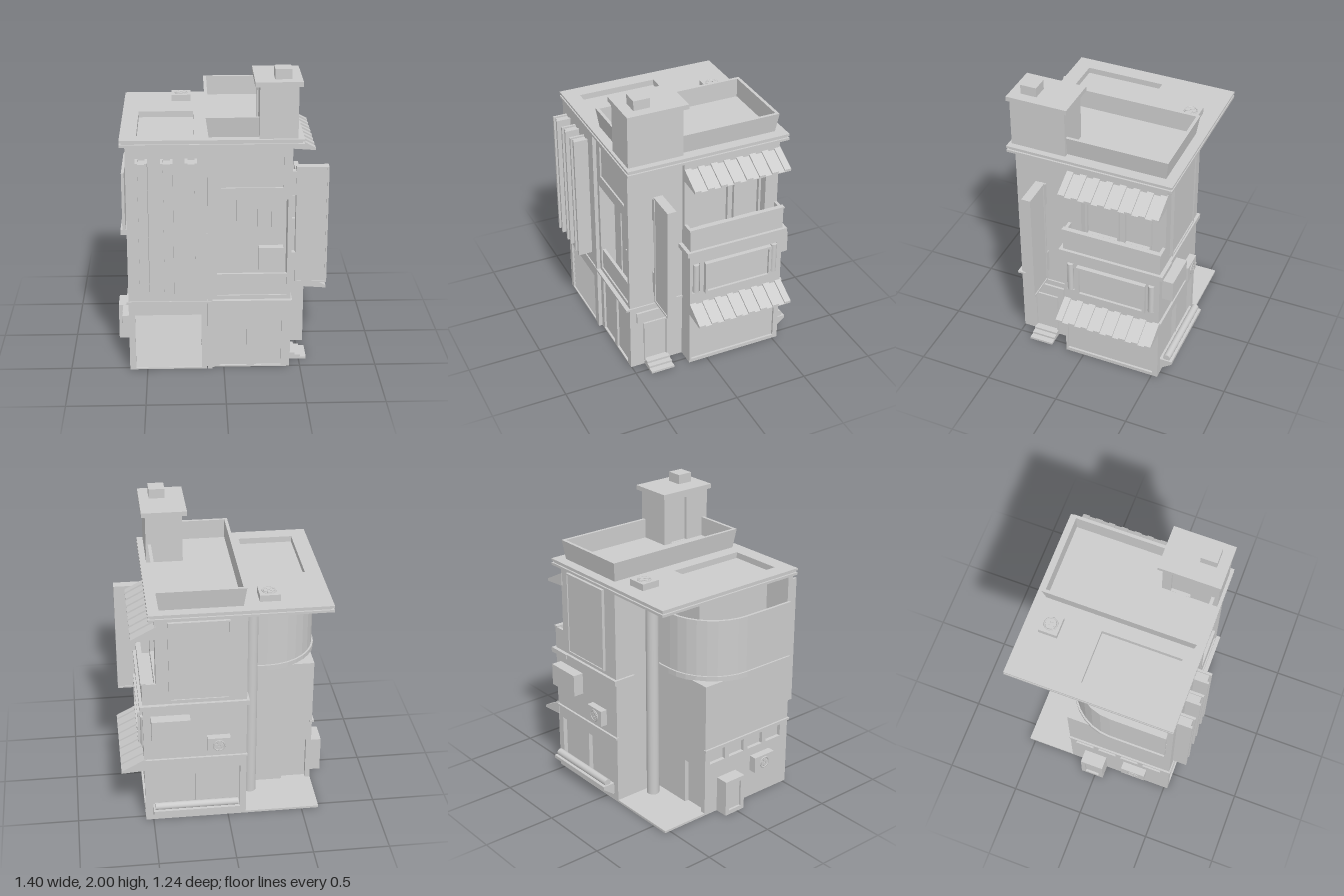
import * as THREE from 'three';

export function createModel() {
  const model = new THREE.Group();
  model.name = 'townBuilding';
  const plaster = new THREE.MeshStandardMaterial({ color: 0xcccccc, side: THREE.DoubleSide });
  plaster.name = 'grey plaster';

  const put = (parent, name, geo, x = 0, y = 0, z = 0) => {
    const mesh = new THREE.Mesh(geo, plaster);
    mesh.name = name;
    mesh.position.set(x, y, z);
    parent.add(mesh);
    return mesh;
  };
  // Box given by its limits on each axis
  const box = (p, name, x0, x1, y0, y1, z0, z1) => put(p, name,
    new THREE.BoxGeometry(x1 - x0, y1 - y0, z1 - z0), (x0 + x1) / 2, (y0 + y1) / 2, (z0 + z1) / 2);
  const trace = (path, [x0, x1, y0, y1]) =>
    path.moveTo(x0, y0).lineTo(x1, y0).lineTo(x1, y1).lineTo(x0, y1).closePath();
  const ring = (rect, holes, depth) => {
    const s = trace(new THREE.Shape(), rect);
    holes.forEach(h => s.holes.push(trace(new THREE.Path(), h)));
    return new THREE.ExtrudeGeometry(s, { depth, bevelEnabled: false });
  };
  // Upright wall with rectangular openings
  const wall = (p, name, rect, holes, z0, z1) => put(p, name, ring(rect, holes, z1 - z0), 0, 0, z0);
  const frame = (p, name, x0, x1, y0, y1, z0, z1, t = 0.015) =>
    wall(p, name, [x0, x1, y0, y1], [[x0 + t, x1 - t, y0 + t, y1 - t]], z0, z1);
  // Side profile of [outward, up] points, swept along x from x0 to x1
  const sweep = (p, name, points, x0, x1) => {
    const s = new THREE.Shape(points.map(([z, y]) => new THREE.Vector2(-z, y)));
    put(p, name, new THREE.ExtrudeGeometry(s, { depth: x1 - x0, bevelEnabled: false }), x0).rotation.y = Math.PI / 2;
  };
  // Each facade has its own frame, with local z pointing outwards
  const facade = (name, angle) => {
    const g = new THREE.Group();
    g.name = name;
    g.rotation.y = angle;
    model.add(g);
    return g;
  };
  const front = facade('frontFacade', 0), right = facade('sideFacade', Math.PI / 2);
  const back = facade('backFacade', Math.PI), left = facade('courtFacade', -Math.PI / 2);

  // Main volumes
  box(model, 'basePlate', -0.615, -0.1, 0, 0.015, -0.54, -0.2);
  box(model, 'garageBlock', -0.59, -0.09, 0, 0.94, -0.175, 0.495);
  box(model, 'upperRoom', -0.42, -0.09, 0.94, 1.53, -0.1, 0.49);
  box(model, 'frontTowerCore', -0.09, 0.43, 0, 1.53, 0.1, 0.385);
  box(model, 'shopBlock', -0.12, 0.535, 0, 0.9, -0.51, 0.13);
  box(model, 'topFloorCore', -0.12, 0.4, 0.9, 1.53, -0.54, 0.13);
  put(model, 'courtColumn', new THREE.CylinderGeometry(0.042, 0.042, 1.53, 20), -0.18, 0.765, -0.29);

  // Front left: garage wall, lapped shutter and upper wall
  wall(front, 'garageWall', [-0.615, -0.11, 0, 0.475], [[-0.575, -0.145, 0.01, 0.39]], 0.495, 0.525);
  for (let i = 0; i < 9; i++) {
    const y = 0.01 + i * 0.0422;
    sweep(front, 'shutterSlat', [[0.49, y], [0.515, y], [0.503, y + 0.0422], [0.49, y + 0.0422]], -0.575, -0.145);
  }
  box(front, 'upperFrontWall', -0.615, -0.11, 0.475, 1.53, 0.485, 0.525);
  box(front, 'pillarStrip', -0.105, -0.075, 0, 1.53, 0.47, 0.53);
  box(front, 'frontMoulding', -0.628, 0.44, 0.474, 0.488, 0.49, 0.533);
  for (const x of [-0.514, -0.357, -0.206]) {
    for (const s of [-1, 1]) box(front, 'finPlate', x + s * 0.03 - 0.008, x + s * 0.03 + 0.008, 0.57, 1.455, 0.515, 0.622);
    box(front, 'finCore', x - 0.022, x + 0.022, 0.575, 1.445, 0.515, 0.608);
  }

  // Front right: ground panels, loggia and upper panel
  wall(front, 'entranceWall', [-0.09, 0.43, 0, 0.475], [[-0.03, 0.15, 0.01, 0.44], [0.2, 0.375, 0.01, 0.44]], 0.475, 0.505);
  box(front, 'entrancePanels', -0.09, 0.43, 0, 0.475, 0.385, 0.49);
  wall(front, 'loggiaWall', [-0.09, 0.43, 0.475, 1.53],
    [[-0.045, 0.405, 0.515, 1.17], [-0.02, 0.375, 1.25, 1.475]], 0.385, 0.505);
  box(front, 'upperPanel', -0.02, 0.375, 1.25, 1.475, 0.4, 0.494);
  box(front, 'loggiaRail', -0.045, 0.405, 0.515, 0.66, 0.475, 0.495);
  for (const [x0, x1, y0] of [[-0.035, 0.065, 0.53], [0.085, 0.195, 0.53], [0.22, 0.295, 0.85], [0.31, 0.395, 0.85]]) {
    box(front, 'loggiaPanel', x0, x1, y0, 1.16, 0.38, 0.405);
  }
  box(front, 'loggiaCabinet', 0.225, 0.385, 0.66, 0.815, 0.385, 0.44);

  // Side entrance, steps and projecting sign board (local x = -z)
  frame(right, 'sideDoor', -0.41, -0.24, 0.03, 0.345, 0.425, 0.442, 0.01);
  box(right, 'doorHeader', -0.46, -0.19, 0.365, 0.44, 0.42, 0.445);
  [0.55, 0.51, 0.475].forEach((d, i) => box(right, 'step', -0.405, -0.24, i * 0.015, (i + 1) * 0.015, 0.42, d));
  box(right, 'sideMoulding', -0.53, -0.13, 0.474, 0.488, 0.42, 0.44);
  box(right, 'signBoard', -0.342, -0.293, 0.54, 1.32, 0.48, 0.667);
  for (const y of [0.53, 1.32]) box(right, 'signRimEnd', -0.348, -0.287, y, y + 0.012, 0.47, 0.678);
  for (const z of [0.47, 0.666]) box(right, 'signRimSide', -0.348, -0.287, 0.53, 1.332, z, z + 0.012);
  for (const y of [0.58, 1.14]) box(right, 'signBracket', -0.34, -0.295, y, y + 0.16, 0.425, 0.48);

  // Shop side: display window, oriel window and lamps
  wall(right, 'shopWall', [-0.13, 0.54, 0, 0.9],
    [[-0.115, 0.525, 0.025, 0.36], [0.458, 0.51, 0.57, 0.8], [-0.11, -0.058, 0.57, 0.8]], 0.53, 0.55);
  frame(right, 'orielFrame', -0.03, 0.45, 0.565, 0.8, 0.545, 0.58, 0.018);
  box(right, 'orielPane', -0.015, 0.435, 0.58, 0.785, 0.545, 0.563);
  for (const x of [-0.084, 0.484]) put(right, 'wallLamp', new THREE.CylinderGeometry(0.021, 0.021, 0.215, 12), x, 0.685, 0.545);
  box(right, 'ledge', -0.155, 0.565, 0.875, 0.908, 0.4, 0.57);
  box(right, 'balconyParapet', -0.13, 0.54, 0.905, 1.06, 0.53, 0.55);
  for (const x of [-0.13, 0.52]) box(right, 'balconyEnd', x, x + 0.02, 0.905, 1.06, 0.45, 0.54);
  box(right, 'parapetCap', -0.135, 0.545, 1.058, 1.07, 0.525, 0.557);
  wall(right, 'balconyWall', [-0.13, 0.54, 0.9, 1.53], [[-0.04, 0.45, 0.96, 1.345]], 0.39, 0.46);
  for (const [a, b] of [[-0.025, 0.205], [0.24, 0.43]]) frame(right, 'balconyWindow', a, b, 0.97, 1.33, 0.4, 0.425, 0.01);

  // Solid awnings: alternating boards over one flat underside
  const awning = (x, top) => {
    const count = 15, w = 0.675 / count;
    for (let i = 0; i < count; i++) {
      const y = top - (i % 2) * 0.012;
      sweep(right, 'awningBoard', [[x - 0.01, y], [x + 0.15, y - 0.085], [x + 0.15, top - 0.102], [x - 0.01, top - 0.09]],
        -0.13 + i * w, -0.13 + (i + 1) * w);
    }
  };
  awning(0.46, 1.475);
  awning(0.55, 0.495);

  // Fan unit facing outwards on a facade, with four round blades
  const fanUnit = (p, x0, x1, y0, y1, z0, z1) => {
    box(p, 'airUnit', x0, x1, y0, y1, z0, z1 - 0.005);
    const x = (x0 + x1) / 2, y = (y0 + y1) / 2, r = Math.min(x1 - x0, y1 - y0) * 0.33;
    put(p, 'fanRing', new THREE.TorusGeometry(r, 0.005, 6, 20), x, y, z1 - 0.005);
    for (let i = 0; i < 4; i++) {
      const a = i * Math.PI / 2;
      put(p, 'fanBlade', new THREE.CylinderGeometry(r * 0.36, r * 0.36, 0.006, 12),
        x + Math.cos(a) * r * 0.52, y + Math.sin(a) * r * 0.52, z1 - 0.004).rotation.x = Math.PI / 2;
    }
  };

  // Back: window, planter, mouldings, air units and upper panel (local x = -x)
  wall(back, 'backWall', [-0.55, 0.12, 0, 0.9], [[-0.5, -0.215, 0.05, 0.39], [-0.2, 0.08, 0.05, 0.39]], 0.505, 0.54);
  sweep(back, 'planterTrough', [[0.535, 0.035], [0.622, 0.1], [0.622, 0.122], [0.535, 0.122]], -0.5, 0.07);
  put(back, 'planterRoll', new THREE.CylinderGeometry(0.025, 0.025, 0.55, 14), -0.215, 0.138, 0.582).rotation.z = Math.PI / 2;
  box(back, 'backMoulding', -0.55, 0.125, 0.474, 0.488, 0.53, 0.555);
  box(back, 'backLedge', -0.57, 0.135, 0.875, 0.908, 0.4, 0.56);
  box(back, 'airUnit', -0.5, -0.25, 0.67, 0.82, 0.53, 0.613);
  fanUnit(back, -0.14, 0.01, 0.54, 0.65, 0.53, 0.592);
  box(back, 'backPanel', -0.37, 0, 0.94, 1.5, 0.53, 0.552);
  frame(back, 'backPanelFrame', -0.38, 0.01, 0.935, 1.5, 0.53, 0.56, 0.01);
  wall(back, 'courtWall', [0.09, 0.615, 0, 0.94], [[0.415, 0.58, 0.015, 0.33]], 0.17, 0.205);

  // Court side: clerestory windows, cabinet and air unit (local x = z)
  const panes = [0, 1, 2, 3].map(i => [-0.165 + i * 0.165, -0.035 + i * 0.165, 0.37, 0.455]);
  wall(left, 'courtSideWall', [-0.205, 0.52, 0, 0.94], panes, 0.585, 0.615);
  box(left, 'courtMoulding', -0.21, 0.52, 0.474, 0.488, 0.6, 0.628);
  box(left, 'groundCabinet', -0.1, 0.06, 0, 0.25, 0.61, 0.69);
  frame(left, 'cabinetDoor', -0.1, 0.06, 0, 0.25, 0.68, 0.705, 0.03);
  fanUnit(left, 0.19, 0.36, 0.2, 0.31, 0.61, 0.672);

  // Rounded balcony: plan outline, floor slab and curved parapet
  const outline = (inset) => {
    const r = 0.36 - inset, pts = [new THREE.Vector2(-0.12, -0.25 + inset)];
    for (let i = 0; i <= 8; i++) {
      const a = i / 8 * Math.PI / 2;
      pts.push(new THREE.Vector2(-0.295 - r * Math.sin(a), 0.11 - r * Math.cos(a)));
    }
    pts.push(new THREE.Vector2(-0.655 + inset, 0.487));
    return pts;
  };
  const flat = (name, pts, y, h) => {
    const s = new THREE.Shape(pts.map(p => new THREE.Vector2(p.x, -p.y)));
    put(model, name, new THREE.ExtrudeGeometry(s, { depth: h, bevelEnabled: false }), 0, y).rotation.x = -Math.PI / 2;
  };
  flat('roundedBalconyFloor', [...outline(0), new THREE.Vector2(-0.12, 0.487)], 0.935, 0.035);
  flat('roundedParapet', [...outline(0.012), ...outline(0.03).reverse()], 0.97, 0.38);

  // Roof: two stacked slabs with a sunken light well
  const well = [-0.545, -0.185, -0.425, 0.11];
  for (const [y, h, d] of [[1.53, 0.016, 0], [1.546, 0.014, 0.012], [1.56, 0.014, 0]]) {
    const geo = ring([-0.65 + d, 0.5 - d, -0.53 + d, 0.585 - d], [well], h);
    put(model, 'roofSlab', geo, 0, y).rotation.x = -Math.PI / 2;
  }
  box(model, 'lightWellFloor', -0.555, -0.175, 1.522, 1.534, -0.12, 0.435);

  // Flared roof parapet: only the outer lower edge is drawn inwards
  const tray = ring([-0.28, 0.28, -0.511, 0.511], [[-0.259, 0.259, -0.49, 0.49]], 0.13);
  const pos = tray.attributes.position;
  for (let i = 0; i < pos.count; i++) {
    const x = pos.getX(i), y = pos.getY(i);
    if (pos.getZ(i) < 0.01 && Math.abs(x) > 0.27) pos.setXY(i, x - Math.sign(x) * 0.018, y - Math.sign(y) * 0.018);
  }
  tray.computeVertexNormals();
  put(model, 'roofParapet', tray, 0.167, 1.574, -0.025).rotation.x = -Math.PI / 2;

  // Stair house with a recessed door, lid and cap
  box(model, 'stairHouse', 0.24, 0.46, 1.57, 1.905, 0.14, 0.51);
  wall(left, 'stairDoorWall', [0.14, 0.51, 1.57, 1.905], [[0.2, 0.33, 1.575, 1.875]], -0.245, -0.22);
  box(model, 'stairLid', 0.19, 0.486, 1.905, 1.936, 0.113, 0.52);
  box(model, 'stairCap', 0.315, 0.42, 1.936, 2, 0.343, 0.45);

  // Roof fan
  const roofFan = new THREE.Group();
  roofFan.name = 'roofFan';
  roofFan.rotation.x = -Math.PI / 2;
  fanUnit(roofFan, -0.33, -0.2, 0.355, 0.48, 1.57, 1.622);
  model.add(roofFan);

  return model;
}
